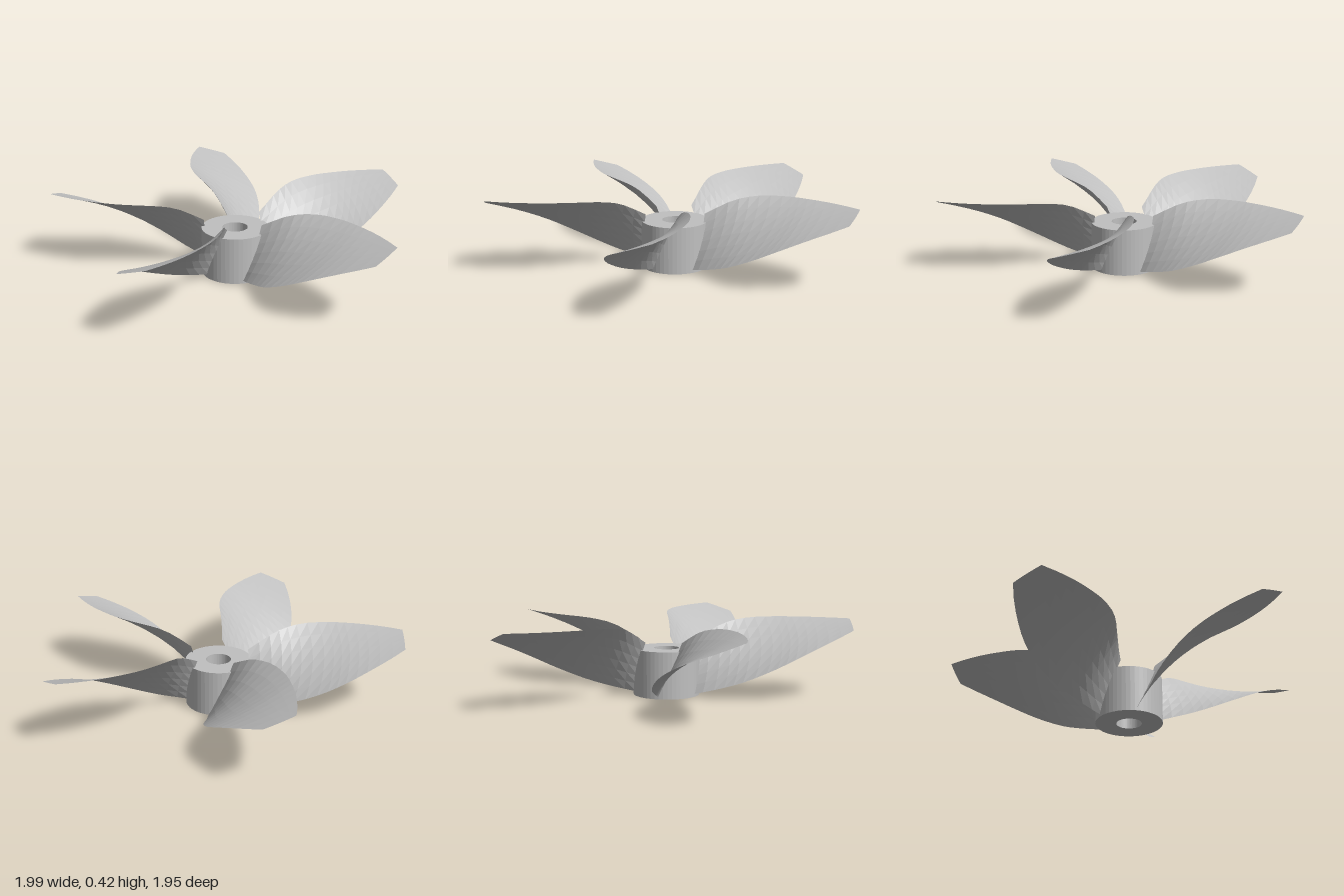
import * as THREE from 'three';

const BLADES = 5, SPANS = 15, CHORDS = 6;

// Blade edges as stations of (radius, angle around the hub, height)
const upperEdge = new THREE.CatmullRomCurve3([
  [0.17, -0.14, 0.305], [0.33, -0.22, 0.385], [0.465, -0.252, 0.412], [0.62, -0.208, 0.419],
  [0.73, -0.152, 0.42], [0.86, -0.085, 0.42], [1.028, 0.007, 0.42],
].map((p) => new THREE.Vector3(...p)));
const lowerEdge = new THREE.CatmullRomCurve3([
  [0.17, 0.63, 0.012], [0.33, 0.557, 0.055], [0.465, 0.535, 0.1], [0.62, 0.47, 0.17],
  [0.73, 0.4, 0.228], [0.86, 0.295, 0.295], [1.026, 0.165, 0.37],
].map((p) => new THREE.Vector3(...p)));

// Twisted sheet: helical chords, each at a constant radius from the hub axis
function bladeGeometry() {
  const positions = [], index = [];
  for (let i = 0; i <= SPANS; i++) {
    const a = upperEdge.getPoint(i / SPANS), b = lowerEdge.getPoint(i / SPANS);
    for (let j = 0; j <= CHORDS; j++) {
      const p = a.clone().lerp(b, j / CHORDS);
      positions.push(p.x * Math.sin(p.y), p.z, -p.x * Math.cos(p.y));
      if (i < SPANS && j < CHORDS) {
        const k = i * (CHORDS + 1) + j, n = k + CHORDS + 1;
        index.push(k, k + 1, n, k + 1, n + 1, n);
      }
    }
  }
  const geometry = new THREE.BufferGeometry();
  geometry.setAttribute('position', new THREE.Float32BufferAttribute(positions, 3));
  geometry.setIndex(index);
  geometry.computeVertexNormals();
  return geometry;
}

export function createModel() {
  const model = new THREE.Group();
  model.name = 'propeller';
  const metal = new THREE.MeshStandardMaterial({ color: 0xc0c0c0, flatShading: true, side: THREE.DoubleSide });
  metal.name = 'light grey metal';

  // The odd blade count puts the axis slightly off the centre of the bounds
  const rotor = new THREE.Group();
  rotor.name = 'rotor';
  rotor.position.set(-0.02, 0, 0.05);
  model.add(rotor);

  // Hub with a through bore
  const profile = [[0.07, 0], [0.185, 0], [0.185, 0.26], [0.07, 0.26], [0.07, 0]];
  const hub = new THREE.Mesh(
    new THREE.LatheGeometry(profile.map(([r, y]) => new THREE.Vector2(r, y)), 48), metal);
  hub.name = 'hub';
  rotor.add(hub);

  // Blades spaced evenly around the hub
  const geometry = bladeGeometry();
  for (let i = 0; i < BLADES; i++) {
    const blade = new THREE.Mesh(geometry, metal);
    blade.name = `blade${i + 1}`;
    blade.rotation.y = (-i * 2 * Math.PI) / BLADES;
    rotor.add(blade);
  }
  return model;
}
